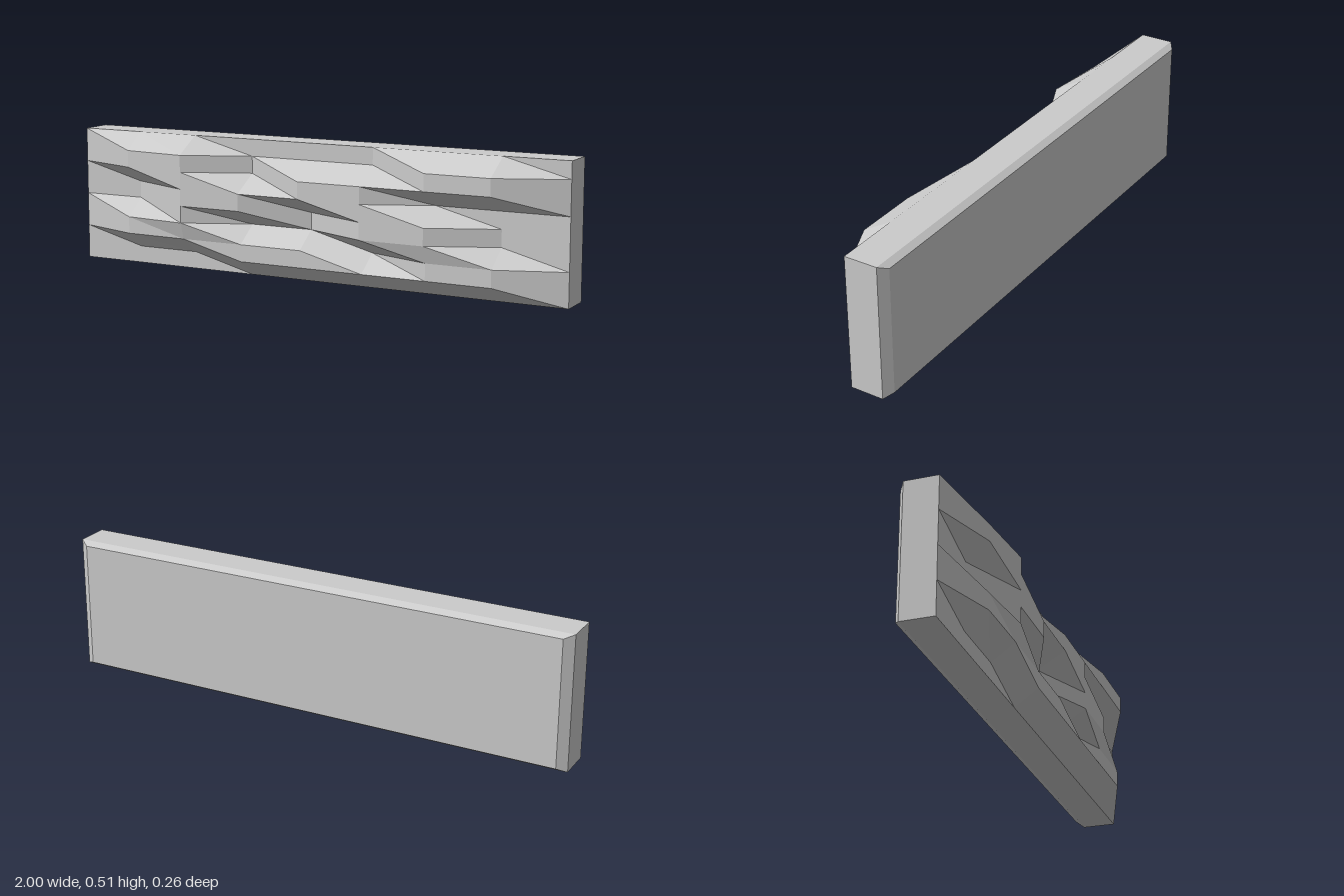
import * as THREE from 'three';

const WIDTH = 2, HEIGHT = 0.512, FRONT = 0.021, COLS = 8, ROWS = 8;
const material = new THREE.MeshStandardMaterial({ color: 0xcccccc, flatShading: true });

function meshFromQuads(name, quads) {
  const points = [];
  // corners run counter-clockwise from the top left: a, b, c, d
  for (const [a, b, c, d] of quads) points.push(...a, ...b, ...c, ...a, ...c, ...d);
  const geometry = new THREE.BufferGeometry();
  geometry.setAttribute('position', new THREE.Float32BufferAttribute(points, 3));
  geometry.computeVertexNormals();
  const mesh = new THREE.Mesh(geometry, material);
  mesh.name = name;
  return mesh;
}

// Slab with a bevelled back, open at the front where the relief sits
function makeSlab() {
  const ring = (z, insetX, insetY) => {
    const x = WIDTH / 2 - insetX, y0 = insetY, y1 = HEIGHT - insetY;
    return [[-x, y0, z], [x, y0, z], [x, y1, z], [-x, y1, z]];
  };
  const rings = [ring(-0.13, 0.035, 0.015), ring(-0.106, 0, 0), ring(FRONT, 0, 0)];
  const quads = [[...rings[0]].reverse()];
  for (let r = 0; r < 2; r++) {
    for (let i = 0; i < 4; i++) {
      const j = (i + 1) % 4;
      quads.push([rings[r][i], rings[r][j], rings[r + 1][j], rings[r + 1][i]]);
    }
  }
  return meshFromQuads('slab', quads);
}

// Rough stone relief: grid points marked # stand out, top row first
function makeRelief() {
  const pattern = [
    '.........',
    '.##...##.',
    '.##.####.',
    '..####...',
    '..##.##..',
    '.##..##..',
    '.####.##.',
    '...#####.',
    '.........',
  ];
  const point = (col, row) => {
    let z = FRONT;
    if (pattern[row][col] === '#') z = col === 1 ? 0.105 : row >= 6 ? 0.11 : 0.13;
    return [(col / COLS - 0.5) * WIDTH, HEIGHT * (1 - row / ROWS), z];
  };
  const quads = [];
  for (let row = 0; row < ROWS; row++) {
    for (let col = 0; col < COLS; col++) {
      quads.push([point(col, row), point(col, row + 1), point(col + 1, row + 1), point(col + 1, row)]);
    }
  }
  return meshFromQuads('stoneRelief', quads);
}

export function createModel() {
  const group = new THREE.Group();
  group.name = 'stoneBlock';
  group.add(makeSlab(), makeRelief());
  return group;
}
